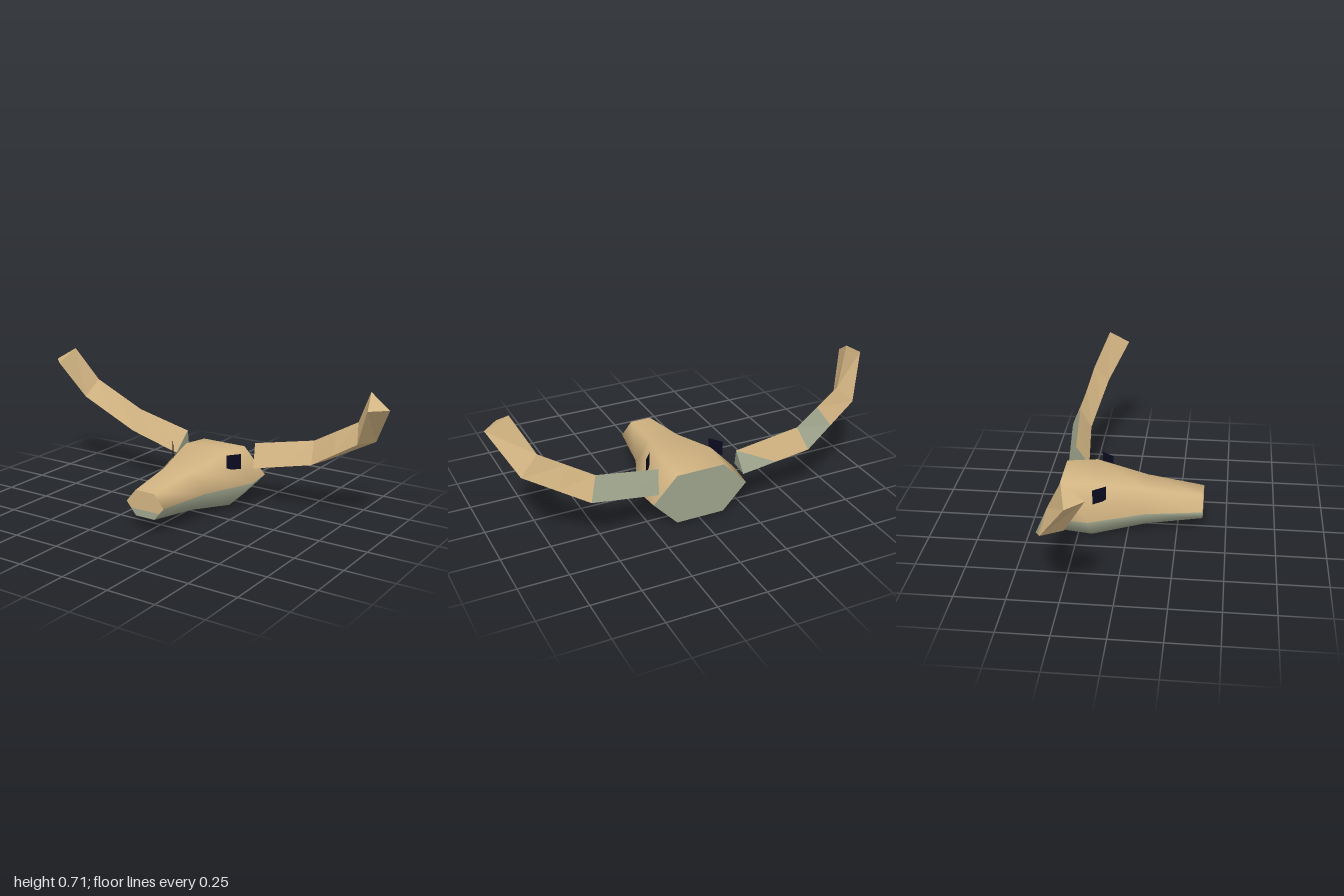
import * as THREE from 'three';

const MID = 0.145; // height of the skull's widest line

// Flat-shaded mesh from a list of triangles (each three [x, y, z] points)
function facets(name, tris, material) {
  const geo = new THREE.BufferGeometry();
  geo.setAttribute('position', new THREE.Float32BufferAttribute(tris.flat(2), 3));
  geo.computeVertexNormals();
  const mesh = new THREE.Mesh(geo, material);
  mesh.name = name;
  return mesh;
}

// Fan triangulation of a convex outline
const fan = (pts) => pts.slice(2).map((p, i) => [pts[0], pts[i + 1], p]);
const mix = (a, b, t) => a.map((v, i) => v + (b[i] - v) * t);

// Hexagonal cross-section of the skull
const hexagon = ([z, w, h]) => Array.from({ length: 6 }, (_, k) => {
  const a = k * Math.PI / 3;
  return [w * Math.cos(a), MID + h * Math.sin(a) / Math.sin(Math.PI / 3), z];
});

function makeSkull(bone, grey) {
  const skull = new THREE.Group();
  skull.name = 'skull';
  // z, half width, half height from muzzle to back
  const rings = [[0.38, 0.11, 0.066], [0.09, 0.158, 0.1], [-0.18, 0.27, 0.145], [-0.34, 0.253, 0.133]].map(hexagon);

  // Smooth sides: upper half bone, lower half grey
  const upper = [], lower = [];
  for (let i = 0; i < rings.length - 1; i++) {
    for (let k = 0; k < 6; k++) {
      const n = (k + 1) % 6;
      const a = i * 6 + k, b = a + 6, c = i * 6 + n, d = c + 6;
      (k < 3 ? upper : lower).push(a, b, c, c, b, d);
    }
  }
  const geo = new THREE.BufferGeometry();
  geo.setAttribute('position', new THREE.Float32BufferAttribute(rings.flat(2), 3));
  geo.setIndex([...upper, ...lower]);
  geo.computeVertexNormals();
  geo.addGroup(0, upper.length, 0);
  geo.addGroup(upper.length, lower.length, 1);
  const sides = new THREE.Mesh(geo, [bone, grey]);
  sides.name = 'skullSides';

  // Muzzle end, with a grey strip along its lower edge
  const f = rings[0];
  const left = mix(f[0], f[5], 0.46), right = mix(f[3], f[4], 0.46);
  skull.add(
    sides,
    facets('muzzleEnd', fan([f[0], f[1], f[2], f[3], right, left]), bone),
    facets('muzzleLowerStrip', fan([left, right, f[4], f[5]]), grey),
    facets('skullBack', fan([...rings[3]].reverse()), grey),
  );
  return skull;
}

// Three-sided horn; each ring is top, front, back corner
const HORN = [
  [[0.21, 0.318, -0.305], [0.24, 0.203, -0.24], [0.23, 0.203, -0.35]],
  [[0.54, 0.382, -0.328], [0.555, 0.27, -0.27], [0.583, 0.27, -0.378]],
  [[0.797, 0.53, -0.28], [0.83, 0.44, -0.203], [0.885, 0.44, -0.3]],
  [[0.89, 0.71, -0.2], [0.922, 0.642, -0.095], [1.0, 0.642, -0.172]],
];

function makeHorn(side, bone, grey) {
  const half = (a, b) => a.map((p, i) => mix(p, b[i], 0.5));
  const rings = [HORN[0], half(HORN[0], HORN[1]), HORN[1], half(HORN[1], HORN[2]), HORN[2], HORN[3]];
  const tan = [], dull = [];
  const place = (list, ...t) => {
    const m = t.map(([x, y, z]) => [x * side, y, z]);
    list.push(side > 0 ? m : m.reverse());
  };
  for (let i = 0; i < rings.length - 1; i++) {
    for (let j = 0; j < 3; j++) { // front, underside, back
      const n = (j + 1) % 3;
      const a = rings[i][j], b = rings[i][n], c = rings[i + 1][j], d = rings[i + 1][n];
      // Grey weathering on the inner underside and parts of the back
      const under = j === 1 && i < 2;
      const back = j === 2;
      const g1 = under || (back && (side > 0 ? i < 2 : i === 0 || i === 2));
      const g2 = under || (back && (side > 0 ? i < 2 : i === 2));
      place(g1 ? dull : tan, a, b, c);
      place(g2 ? dull : tan, b, d, c);
    }
  }
  const [t, f, b] = HORN[0];
  place(dull, t, b, f); // root end
  place(tan, ...HORN[3]); // tip end
  const horn = new THREE.Group();
  horn.name = side > 0 ? 'leftHorn' : 'rightHorn';
  horn.add(facets('hornBone', tan, bone), facets('hornGreyPatches', dull, grey));
  return horn;
}

export function createModel() {
  const make = (name, color, extra) => {
    const m = new THREE.MeshStandardMaterial({ color, ...extra });
    m.name = name;
    return m;
  };
  const bone = make('bone', 0xd2b482);
  const grey = make('greyBone', 0xa0a68e);
  const dark = make('eyeDark', 0x0b0b20, { side: THREE.DoubleSide });

  const model = new THREE.Group();
  model.name = 'hornedSkull';
  model.add(makeSkull(bone, grey));
  for (const side of [1, -1]) {
    model.add(makeHorn(side, bone, grey));
    // Eye plate standing at an angle to the side of the skull
    const eye = new THREE.Mesh(new THREE.PlaneGeometry(0.079, 0.079), dark);
    eye.name = side > 0 ? 'leftEye' : 'rightEye';
    eye.position.set(side * 0.188, 0.257, -0.132);
    eye.rotation.y = side * 0.92;
    model.add(eye);
  }
  return model;
}
